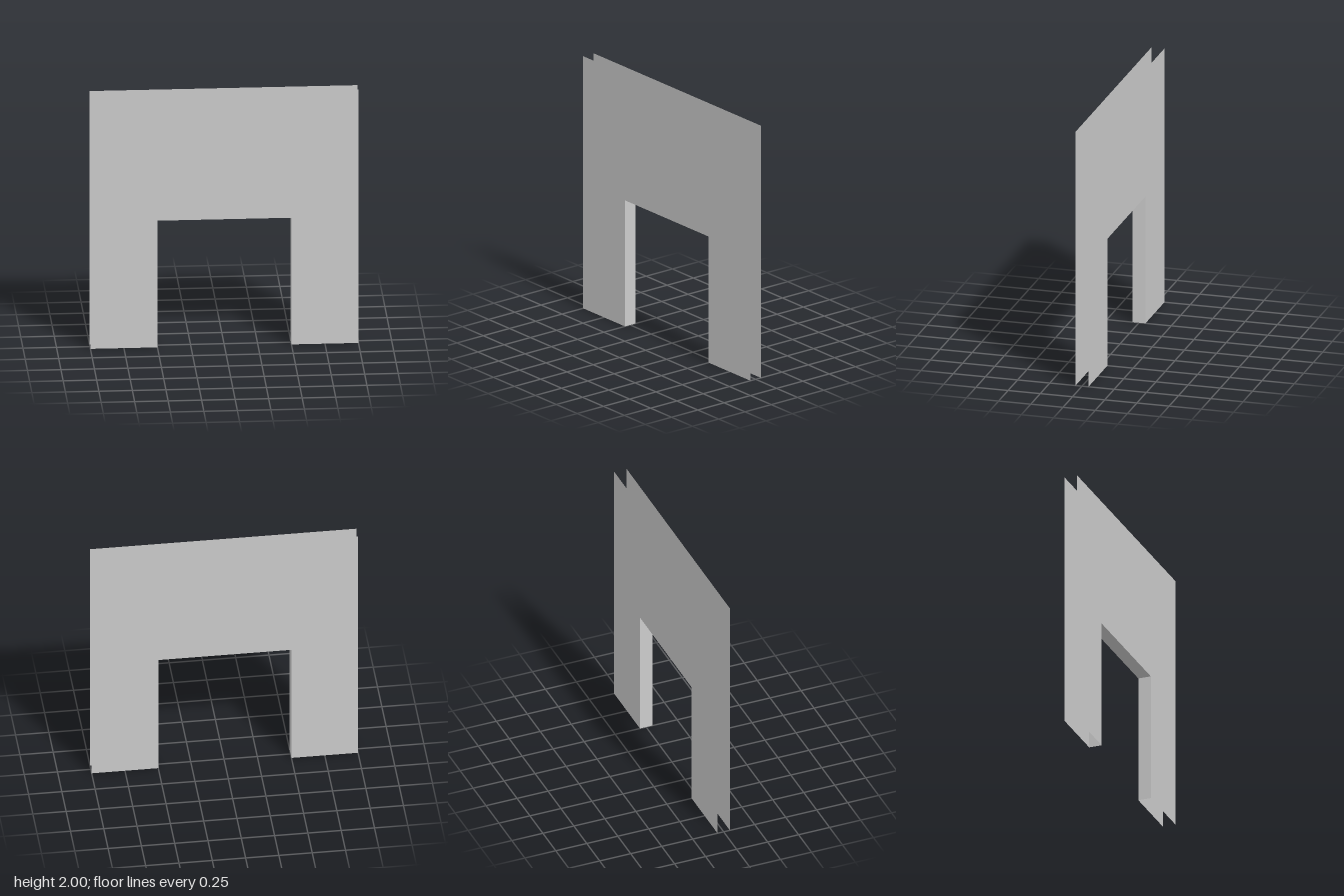
import * as THREE from 'three';

const WIDTH = 2, HEIGHT = 2, DEPTH = 0.1;
const OPEN_W = 1, OPEN_H = 1;

export function createModel() {
  const group = new THREE.Group();
  group.name = 'doorwayWall';
  const material = new THREE.MeshStandardMaterial({ color: 0xcccccc, flatShading: true, side: THREE.DoubleSide });

  const add = (name, geometry) => {
    const mesh = new THREE.Mesh(geometry, material);
    mesh.name = name;
    group.add(mesh);
    return mesh;
  };

  // Wall outline with the doorway cut out of its lower edge
  const w = WIDTH / 2, o = OPEN_W / 2;
  const outline = new THREE.Shape([
    [-w, 0], [-o, 0], [-o, OPEN_H], [o, OPEN_H], [o, 0], [w, 0], [w, HEIGHT], [-w, HEIGHT],
  ].map(([x, y]) => new THREE.Vector2(x, y)));

  // Front and back wall faces; the outer rim between them stays open
  const front = add('frontWallFace', new THREE.ShapeGeometry(outline));
  front.position.z = DEPTH / 2;
  const back = add('backWallFace', new THREE.ShapeGeometry(outline));
  back.rotation.y = Math.PI;
  back.position.z = -DEPTH / 2;

  // Door jambs, facing into the opening
  for (const [name, side] of [['leftJamb', 1], ['rightJamb', -1]]) {
    const jamb = add(name, new THREE.PlaneGeometry(DEPTH, OPEN_H));
    jamb.rotation.y = -side * Math.PI / 2;
    jamb.position.set(side * o, OPEN_H / 2, 0);
  }

  // Underside of the lintel, facing down
  const lintel = add('lintelUnderside', new THREE.PlaneGeometry(OPEN_W, DEPTH));
  lintel.rotation.x = Math.PI / 2;
  lintel.position.y = OPEN_H;

  return group;
}
